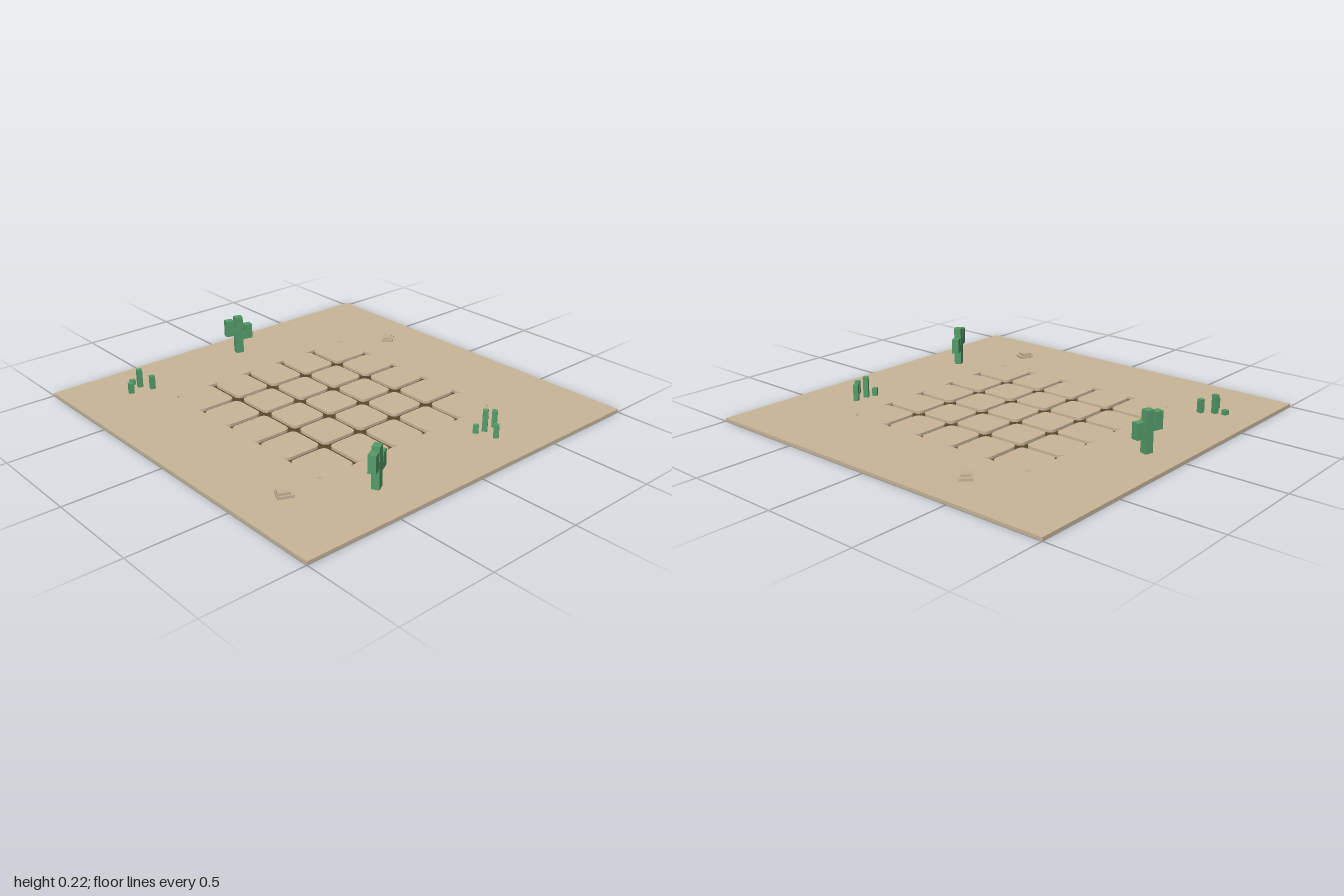
import * as THREE from 'three';

const mat = (name, color) => {
  const m = new THREE.MeshStandardMaterial({ color });
  m.name = name;
  return m;
};

export function createModel() {
  const model = new THREE.Group();
  model.name = 'desertTile';
  const sand = mat('sand', 0xc9b699);
  const earth = mat('darkEarth', 0x5a4a2c);
  const green = mat('cactusGreen', 0x559c69);
  const stone = mat('stone', 0xc6b195);

  const TOP = 0.016, FIELD = 0.555, FLOOR = 0.002;

  // Box given by its centre, bottom height and size
  function box(parent, name, material, w, h, d, x, y, z, turn = 0) {
    const m = new THREE.Mesh(new THREE.BoxGeometry(w, h, d), material);
    m.name = name;
    m.position.set(x, y + h / 2, z);
    m.rotation.y = turn;
    parent.add(m);
    return m;
  }

  // Flat slab extruded upward from a plan shape
  function slab(name, shape, y0, y1) {
    const g = new THREE.ExtrudeGeometry(shape, { depth: y1 - y0, bevelEnabled: false, curveSegments: 5 });
    g.rotateX(-Math.PI / 2);
    const m = new THREE.Mesh(g, sand);
    m.name = name;
    m.position.y = y0;
    model.add(m);
  }

  function square(path, s) {
    path.moveTo(-s, -s).lineTo(s, -s).lineTo(s, s).lineTo(-s, s).closePath();
    return path;
  }

  function roundedRect(x0, y0, x1, y1, r) {
    const s = new THREE.Shape();
    s.moveTo(x0 + r, y0);
    s.lineTo(x1 - r, y0).quadraticCurveTo(x1, y0, x1, y0 + r);
    s.lineTo(x1, y1 - r).quadraticCurveTo(x1, y1, x1 - r, y1);
    s.lineTo(x0 + r, y1).quadraticCurveTo(x0, y1, x0, y1 - r);
    s.lineTo(x0, y0 + r).quadraticCurveTo(x0, y0, x0 + r, y0);
    return s;
  }

  // Ground with a sunken square field
  const ground = square(new THREE.Shape(), 1);
  ground.holes.push(square(new THREE.Path(), FIELD));
  slab('ground', ground, 0, TOP);
  box(model, 'fieldBase', sand, 2 * FIELD, 0.001, 2 * FIELD, 0, 0, 0);
  box(model, 'grooveFloor', earth, 2 * FIELD, 0.001, 2 * FIELD, 0, 0.001, 0);

  // Five by five paving, flush with the ground, leaving dark grooves
  const cell = (2 * FIELD) / 5, half = 0.0125;
  const span = (i) => [
    -FIELD + i * cell + (i > 0 ? half : 0),
    -FIELD + (i + 1) * cell - (i < 4 ? half : 0),
  ];
  for (let i = 0; i < 5; i++) {
    for (let j = 0; j < 5; j++) {
      const [x0, x1] = span(i), [y0, y1] = span(j);
      slab('pavingTile', roundedRect(x0, y0, x1, y1, 0.034), FLOOR, TOP);
    }
  }

  // Large cacti: trunk with one raised arm on each side
  function cactus(x, z, turn) {
    const g = new THREE.Group();
    g.name = 'cactus';
    const t = 0.038;
    box(g, 'trunk', green, 0.042, 0.207, t, 0, 0, 0);
    for (const [side, low, high] of [[-1, 0.104, 0.192], [1, 0.077, 0.157]]) {
      box(g, 'armLink', green, 0.014, 0.036, t, side * 0.027, low, 0);
      box(g, 'arm', green, 0.042, high - low, t, side * 0.053, low, 0);
    }
    g.position.set(x, TOP, z);
    g.rotation.y = turn;
    model.add(g);
  }
  cactus(0.035, -0.818, -0.28);
  cactus(-0.418, 0.77, 0.5);

  // Small clusters of upright stems: x, z, top height
  const clusters = [
    { turn: -0.28, stems: [[-0.64, -0.83, 0.04], [-0.627, -0.78, 0.113], [-0.7, -0.745, 0.069], [-0.59, -0.72, 0.086]] },
    { turn: 0.65, stems: [[0.285, 0.705, 0.056], [0.332, 0.72, 0.125], [0.4, 0.72, 0.1], [0.32, 0.8, 0.083]] },
  ];
  for (const { turn, stems } of clusters) {
    const g = new THREE.Group();
    g.name = 'smallCactusCluster';
    for (const [x, z, top] of stems) box(g, 'stem', green, 0.026, top - TOP, 0.026, x, TOP, z, turn);
    model.add(g);
  }

  // Low stepped rocks
  function rock(x, z, turn) {
    const g = new THREE.Group();
    g.name = 'rock';
    box(g, 'rockBase', stone, 0.076, 0.013, 0.062, 0, 0, 0);
    box(g, 'rockTop', stone, 0.056, 0.013, 0.046, -0.006, 0.013, 0);
    g.position.set(x, TOP, z);
    g.rotation.y = turn;
    model.add(g);
  }
  rock(0.775, -0.4, 0.75);
  rock(-0.755, 0.562, -0.42);

  return model;
}
